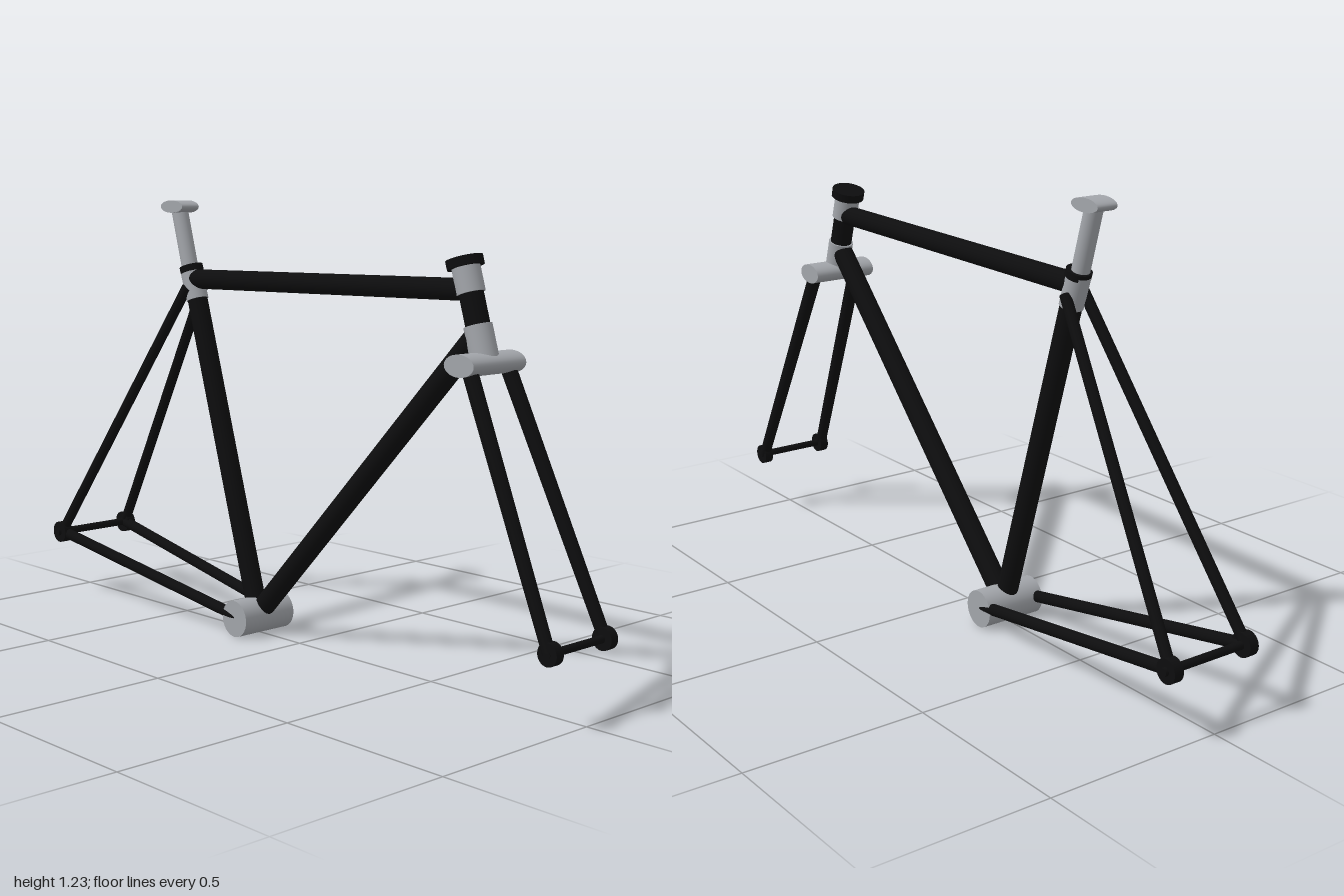
import * as THREE from 'three';

export function createModel() {
  const model = new THREE.Group();
  model.name = 'bicycleFrame';
  const black = new THREE.MeshStandardMaterial({ color: 0x0d0d0e });
  black.name = 'black paint';
  const silver = new THREE.MeshStandardMaterial({ color: 0xa2a5aa });
  silver.name = 'silver metal';

  const V = (x, y, z = 0) => new THREE.Vector3(x, y, z);
  const up = V(0, 1, 0);

  // Round tube from a to b, optionally tapered
  function tube(name, a, b, ra, material, rb = ra) {
    const mesh = new THREE.Mesh(new THREE.CylinderGeometry(rb, ra, a.distanceTo(b), 28), material);
    mesh.position.copy(a).add(b).multiplyScalar(0.5);
    mesh.quaternion.setFromUnitVectors(up, b.clone().sub(a).normalize());
    mesh.name = name;
    model.add(mesh);
    return mesh;
  }

  // Cylinder lying across the frame, with an oval section
  function crossBar(name, x, y, rx, ry, length, material, z = 0) {
    const geometry = new THREE.CylinderGeometry(1, 1, length, 32);
    geometry.rotateX(Math.PI / 2);
    geometry.scale(rx, ry, 1);
    const mesh = new THREE.Mesh(geometry, material);
    mesh.position.set(x, y, z);
    mesh.name = name;
    model.add(mesh);
  }

  const bottom = V(-0.175, 0.052);
  const seatTop = V(-0.472, 1.035);
  const headTop = V(0.594, 1.09);
  const headLow = V(0.668, 0.84);
  const onHead = t => headTop.clone().lerp(headLow, t);

  // Main triangle
  tube('topTube', V(-0.45, 0.999), V(0.605, 1.013), 0.028, black);
  tube('downTube', bottom, V(0.638, 0.9), 0.03, black);
  tube('seatTube', bottom, V(-0.445, 0.965), 0.029, black);
  crossBar('bottomBracket', bottom.x, bottom.y, 0.051, 0.052, 0.18, silver);

  // Seat cluster
  tube('seatLug', V(-0.438, 0.94), V(-0.466, 1.025), 0.032, silver);
  tube('seatClamp', V(-0.461, 1.018), V(-0.467, 1.036), 0.034, black);
  tube('seatPost', seatTop, V(-0.518, 1.2), 0.024, silver);
  crossBar('saddleClamp', -0.517, 1.207, 0.05, 0.018, 0.062, silver);

  // Head tube and its bearing cups
  tube('headCap', onHead(0), onHead(0.09), 0.047, black);
  tube('upperHeadCup', onHead(0.08), onHead(0.34), 0.036, silver);
  tube('headTube', onHead(0.33), onHead(0.68), 0.031, black);
  tube('lowerHeadCup', onHead(0.65), onHead(1), 0.036, silver);
  crossBar('forkCrown', 0.668, 0.836, 0.048, 0.028, 0.194, silver);

  // Paired stays, fork blades and dropouts
  for (const s of [1, -1]) {
    tube('seatStay', V(-0.97, 0.19, s * 0.122), V(-0.45, 0.975, s * 0.03), 0.015, black);
    tube('chainStay', V(-0.97, 0.19, s * 0.12), V(-0.175, 0.055, s * 0.074), 0.016, black);
    tube('forkBlade', V(0.675, 0.835, s * 0.07), V(0.967, 0.19, s * 0.105), 0.02, black, 0.016);
    crossBar('rearDropout', -0.968, 0.19, 0.032, 0.032, 0.028, black, s * 0.122);
    crossBar('frontDropout', 0.97, 0.19, 0.029, 0.029, 0.026, black, s * 0.103);
  }

  // Axles
  crossBar('rearAxle', -0.968, 0.19, 0.011, 0.011, 0.29, black);
  crossBar('frontAxle', 0.97, 0.19, 0.01, 0.01, 0.235, black);

  return model;
}
